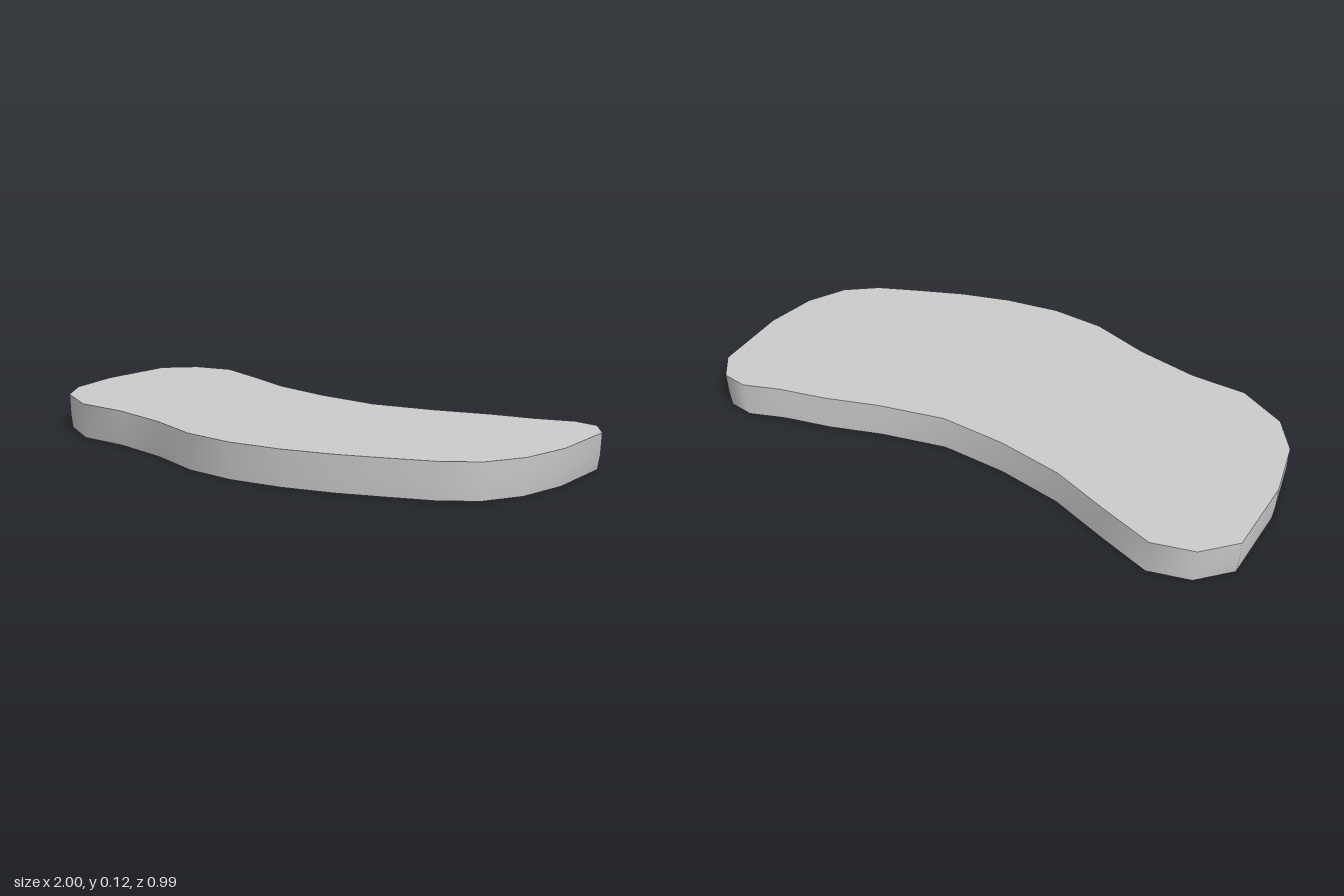
import * as THREE from 'three';

// Plan outline as [x, z], running along the back, then round the front
const OUTLINE = [
  [-1, -0.36], [-0.9, -0.465], [-0.755, -0.5], [-0.56, -0.43], [-0.355, -0.35],
  [-0.12, -0.305], [0.12, -0.29], [0.35, -0.34], [0.54, -0.4], [0.7, -0.435],
  [0.83, -0.48], [0.92, -0.465], [0.985, -0.375], [0.997, -0.1], [0.965, 0.08],
  [0.895, 0.21], [0.79, 0.29], [0.635, 0.355], [0.485, 0.415], [0.31, 0.465],
  [0.12, 0.493], [-0.07, 0.48], [-0.28, 0.41], [-0.5, 0.367], [-0.7, 0.362],
  [-0.87, 0.27], [-0.955, 0.145], [-1, -0.065],
];

// Wall profile as [height, scale]: drawn in slightly at the bottom
const PROFILE = [[0, 0.99], [0.05, 0.997], [0.125, 1]];

// Flat cap facing up (dir = 1) or down (dir = -1)
function capGeometry([y, scale], dir) {
  const shape = new THREE.Shape(
    OUTLINE.map(([x, z]) => new THREE.Vector2(x * scale, -dir * z * scale)));
  return new THREE.ShapeGeometry(shape).rotateX(-dir * Math.PI / 2).translate(0, y, 0);
}

// Smooth wall lofted through the profile rings
function wallGeometry() {
  const n = OUTLINE.length;
  const positions = [];
  const index = [];
  PROFILE.forEach(([y, s], k) => OUTLINE.forEach(([x, z], i) => {
    positions.push(x * s, y, z * s);
    if (k === 0) return;
    const j = (i + 1) % n;
    const low = (k - 1) * n;
    const high = k * n;
    index.push(low + i, high + i, low + j, low + j, high + i, high + j);
  }));
  const geometry = new THREE.BufferGeometry();
  geometry.setAttribute('position', new THREE.Float32BufferAttribute(positions, 3));
  geometry.setIndex(index);
  geometry.computeVertexNormals();
  return geometry;
}

export function createModel() {
  const group = new THREE.Group();
  group.name = 'curvedSlab';
  const material = new THREE.MeshStandardMaterial({ color: 0xcccccc });
  const add = (name, geometry) => {
    const mesh = new THREE.Mesh(geometry, material);
    mesh.name = name;
    group.add(mesh);
  };
  add('sideWall', wallGeometry());
  add('topFace', capGeometry(PROFILE[PROFILE.length - 1], 1));
  add('bottomFace', capGeometry(PROFILE[0], -1));
  return group;
}
